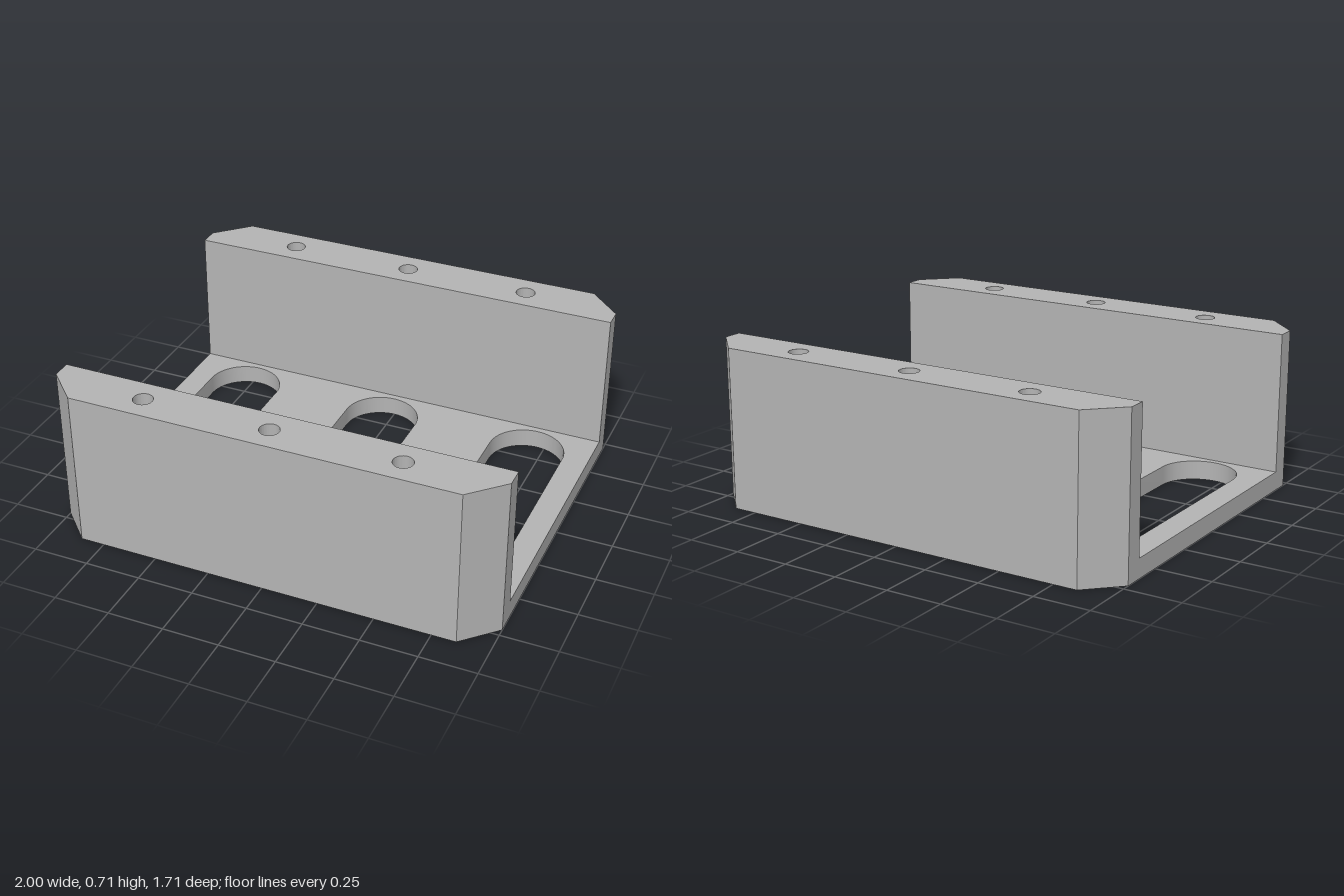
import * as THREE from 'three';
import { toCreasedNormals } from 'three/addons/utils/BufferGeometryUtils.js';

const X = 1, Z = 0.857, CHAMFER = 0.143;
const INNER = 0.629, FLOOR = 0.086, HEIGHT = 0.714, HOLE_DEPTH = 0.286;

const metal = new THREE.MeshStandardMaterial({ color: 0xb4b4b4 });
metal.name = 'grey metal';

// Extrude a plan outline upward from y0 to y1
function slab(name, shape, y0, y1) {
  const geo = new THREE.ExtrudeGeometry(shape, { depth: y1 - y0, bevelEnabled: false, curveSegments: 24 });
  geo.rotateX(-Math.PI / 2);
  geo.translate(0, y0, 0);
  const mesh = new THREE.Mesh(toCreasedNormals(geo, 0.5), metal);
  mesh.name = name;
  return mesh;
}

function outline(points) {
  return new THREE.Shape(points.map(([x, y]) => new THREE.Vector2(x, y)));
}

// Slot with rounded ends, running front to back
function slot(x, radius, halfLength) {
  const c = halfLength - radius;
  const path = new THREE.Path();
  path.moveTo(x + radius, -c);
  path.lineTo(x + radius, c);
  path.absarc(x, c, radius, 0, Math.PI, false);
  path.lineTo(x - radius, -c);
  path.absarc(x, -c, radius, Math.PI, Math.PI * 2, false);
  return path;
}

// Plan of one wall with chamfered outer corners
function wallOutline() {
  return outline([[-X, INNER], [X, INNER], [X, Z - CHAMFER], [X - CHAMFER, Z],
    [CHAMFER - X, Z], [-X, Z - CHAMFER]]);
}

function wall(name) {
  const group = new THREE.Group();
  group.name = name;
  // Upper part carries the blind screw holes, the lower part closes them
  const drilled = wallOutline();
  for (const x of [-0.571, 0, 0.571]) {
    drilled.holes.push(new THREE.Path().absarc(x, 0.743, 0.043, 0, Math.PI * 2, true));
  }
  group.add(slab('wallBase', wallOutline(), FLOOR, HEIGHT - HOLE_DEPTH));
  group.add(slab('drilledWallTop', drilled, HEIGHT - HOLE_DEPTH, HEIGHT));
  return group;
}

export function createModel() {
  const model = new THREE.Group();
  model.name = 'channelBracket';

  // Floor plate with three slots
  const plate = outline([[X, Z - CHAMFER], [X - CHAMFER, Z], [CHAMFER - X, Z], [-X, Z - CHAMFER],
    [-X, CHAMFER - Z], [CHAMFER - X, -Z], [X - CHAMFER, -Z], [X, CHAMFER - Z]]);
  for (const x of [-0.714, 0, 0.714]) plate.holes.push(slot(x, 0.172, 0.6));
  model.add(slab('floorPlate', plate, 0, FLOOR));

  // Back wall, and the front wall turned half a circle
  const front = wall('frontWall');
  front.rotation.y = Math.PI;
  model.add(wall('backWall'), front);
  return model;
}
